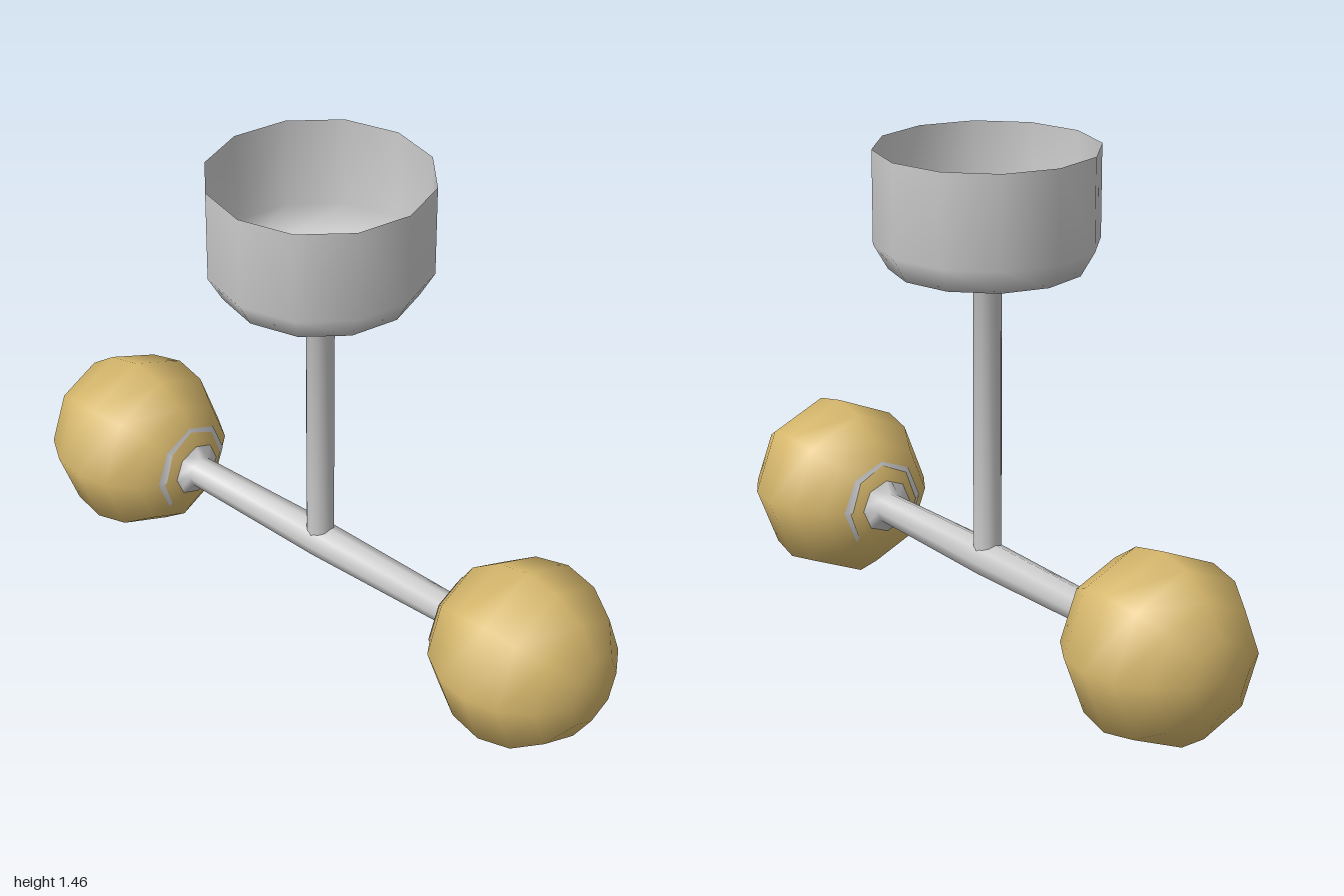
import * as THREE from 'three';

const grey = new THREE.MeshStandardMaterial({ color: 0xcccccc, side: THREE.DoubleSide });
const gold = new THREE.MeshStandardMaterial({ color: 0xd6b76c });

function lathe(name, profile, sides) {
  const points = profile.map(([r, h]) => new THREE.Vector2(r, h));
  const mesh = new THREE.Mesh(new THREE.LatheGeometry(points, sides), grey);
  mesh.name = name;
  return mesh;
}

export function createModel() {
  const model = new THREE.Group();
  model.name = 'twinBallStand';
  const axisY = 0.27;

  // Stem widening into an open cup
  model.add(lathe('stemAndCup', [
    [0.04, 0.29], [0.04, 1.13], [0.27, 1.13], [0.31, 1.2], [0.31, 1.46],
  ], 12));

  // Crossbar, slightly thicker in the middle, with a flared socket at each end
  const bar = lathe('crossbar', [
    [0.135, -0.52], [0.045, -0.48], [0.053, 0], [0.045, 0.48], [0.135, 0.52],
  ], 8);
  bar.rotation.z = -Math.PI / 2;
  bar.position.y = axisY + 0.003;
  model.add(bar);

  // Balls, with their poles along the crossbar
  const ballGeometry = new THREE.SphereGeometry(1, 8, 8);
  ballGeometry.rotateZ(Math.PI / 2);
  ballGeometry.scale(0.26, 0.27, 0.257);
  for (const side of [-1, 1]) {
    const ball = new THREE.Mesh(ballGeometry, gold);
    ball.name = side > 0 ? 'leftBall' : 'rightBall';
    ball.position.set(side * 0.74, axisY, 0);
    model.add(ball);
  }
  return model;
}
